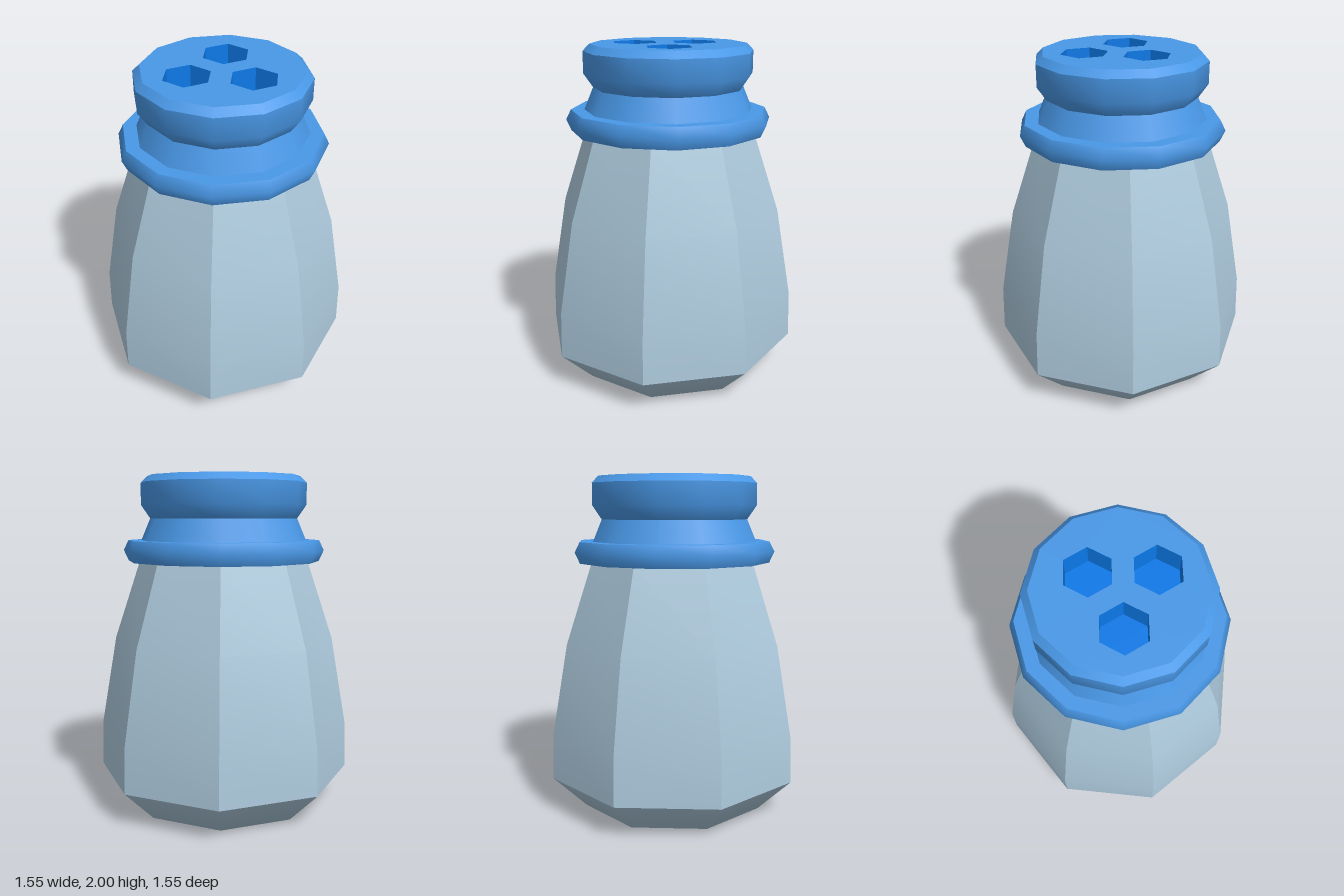
import * as THREE from 'three';
import { toCreasedNormals } from 'three/addons/utils/BufferGeometryUtils.js';

const material = (name, color) => {
  const m = new THREE.MeshStandardMaterial({ color });
  m.name = name;
  return m;
};

// Revolve a profile of [radius, height] pairs; corners fall on the axes
const lathe = (points, sides) =>
  new THREE.LatheGeometry(points.map(([r, y]) => new THREE.Vector2(r, y)), sides);

const ngon = (PathType, r, sides, cx = 0, cz = 0) => {
  const pts = [];
  for (let i = 0; i < sides; i++) {
    const a = (i / sides) * Math.PI * 2;
    pts.push(new THREE.Vector2(cx + r * Math.sin(a), -cz - r * Math.cos(a)));
  }
  return new PathType(pts);
};

export function createModel() {
  const model = new THREE.Group();
  model.name = 'shaker';
  const glass = material('pale blue glass', 0xadcadd);
  const lidBlue = material('lid blue', 0x4a9aea);
  const holeBlue = material('hole blue', 0x0c79e8);

  const add = (name, geometry, mat, parent = model) => {
    const mesh = new THREE.Mesh(geometry, mat);
    mesh.name = name;
    parent.add(mesh);
    return mesh;
  };

  // Eight-sided body: crisp upright edges, smooth vertical curve
  const walls = lathe([[0.773, 0.2], [0.765, 0.48], [0.67, 1.02], [0.51, 1.5]], 8);
  add('bodyWalls', toCreasedNormals(walls, 0.6), glass);
  // Softly shaded tapered base
  add('bodyBase', lathe([[0, 0], [0.57, 0], [0.773, 0.2]], 8), glass);

  // Twelve-sided lid, one smooth band per section
  const lid = new THREE.Group();
  lid.name = 'lid';
  model.add(lid);
  const bands = {
    flangeUnderside: [[0.4, 1.495], [0.58, 1.495]],
    flange: [[0.58, 1.495], [0.61, 1.56], [0.58, 1.62]],
    flangeTop: [[0.58, 1.62], [0.5, 1.62]],
    neck: [[0.5, 1.62], [0.445, 1.75]],
    rim: [[0.445, 1.75], [0.5, 1.83], [0.5, 1.96]],
    rimBevel: [[0.5, 1.96], [0.46, 2]],
  };
  for (const [name, profile] of Object.entries(bands)) add(name, lathe(profile, 12), lidBlue, lid);

  // Top plate pierced by three hexagonal pits
  const holeRadius = 0.14;
  const centres = [[0, -0.185], [-0.18, 0.12], [0.18, 0.12]];
  const plate = ngon(THREE.Shape, 0.46, 12);
  for (const [x, z] of centres) plate.holes.push(ngon(THREE.Path, holeRadius, 6, x, z));
  const top = add('lidTop', new THREE.ShapeGeometry(plate).rotateX(-Math.PI / 2), lidBlue, lid);
  top.position.y = 2;

  const pit = lathe([[holeRadius, 0], [holeRadius, -0.15], [0, -0.15]], 6).toNonIndexed();
  pit.computeVertexNormals();
  centres.forEach(([x, z], i) => {
    add(`pourHole${i + 1}`, pit, holeBlue, lid).position.set(x, 2, z);
  });

  return model;
}
